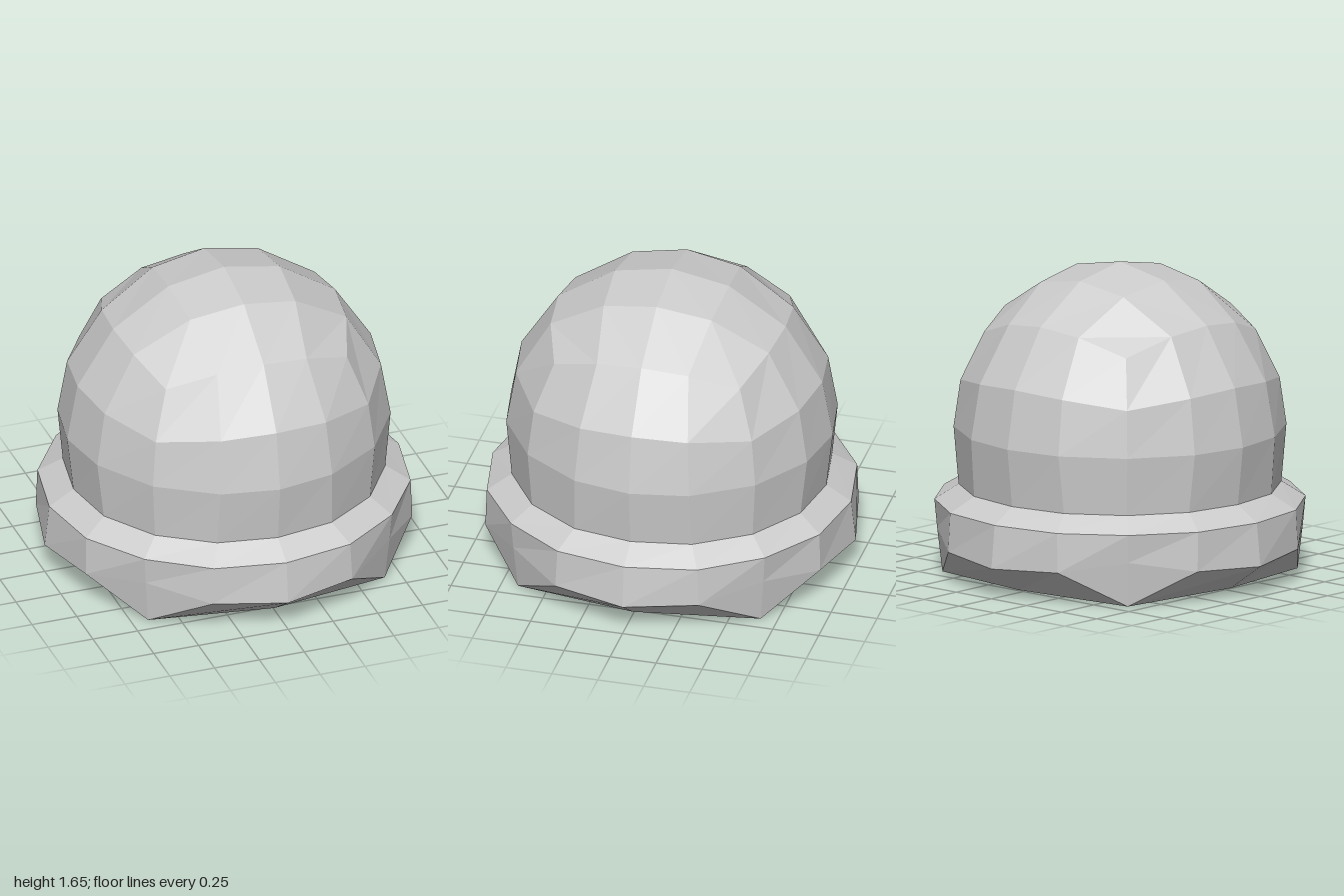
import * as THREE from 'three';

const RADIUS = 0.875, CENTRE_Y = 0.78;

// The 16 steps around a square grid (-2..2), counterclockwise from the front middle
const steps = [];
for (let side = 0; side < 4; side++) {
  for (let n = 0; n < 4; n++) {
    let i = Math.min(n, 2), j = Math.min(2, 4 - n);
    for (let s = 0; s < side; s++) [i, j] = [j, -i];
    steps.push([i, j]);
  }
}

// Point of a cube grid (-2..2 each way) pushed out to the ball
function ballPoint(i, k, j) {
  const onEdge = [i, k, j].filter((c) => Math.abs(c) === 2).length > 1;
  const inner = onEdge ? 0.42 : 0.38;
  const spread = (c) => Math.sign(c) * (Math.abs(c) === 1 ? inner : Math.abs(c) / 2);
  const p = new THREE.Vector3(spread(i), spread(k), spread(j)).setLength(RADIUS);
  p.y += CENTRE_Y;
  return p;
}

const ballRing = (k) => steps.map(([i, j]) => ballPoint(i, k, j));

// Four-fold symmetric ring: axis [r, y], between [near, far, y], corner [c, y]
function ring(axis, between, corner) {
  return steps.map(([i, j]) => {
    const sx = Math.sign(i), sz = Math.sign(j);
    if (i === 0 || j === 0) return new THREE.Vector3(sx * axis[0], axis[1], sz * axis[0]);
    if (Math.abs(i) === Math.abs(j)) return new THREE.Vector3(sx * corner[0], corner[1], sz * corner[0]);
    const [near, far, y] = between;
    return Math.abs(i) < Math.abs(j)
      ? new THREE.Vector3(sx * near, y, sz * far)
      : new THREE.Vector3(sx * far, y, sz * near);
  });
}

// Flat triangles, leaving out collapsed ones
function addTriangle(out, a, b, c) {
  if (a.distanceTo(b) < 1e-5 || b.distanceTo(c) < 1e-5 || c.distanceTo(a) < 1e-5) return;
  out.push(a, b, c);
}

function addQuad(out, a, b, c, d) {
  addTriangle(out, a, b, c);
  addTriangle(out, a, c, d);
}

// Join rings listed from top to bottom
function addLoft(out, rings) {
  for (let r = 0; r + 1 < rings.length; r++) {
    const up = rings[r], low = rings[r + 1];
    for (let k = 0; k < 16; k++) {
      const n = (k + 1) % 16;
      addQuad(out, low[k], low[n], up[n], up[k]);
    }
  }
}

function makeMesh(name, points) {
  const geometry = new THREE.BufferGeometry().setFromPoints(points);
  geometry.computeVertexNormals();
  const material = new THREE.MeshStandardMaterial({ color: 0xcccccc, flatShading: true });
  const mesh = new THREE.Mesh(geometry, material);
  mesh.name = name;
  return mesh;
}

export function createModel() {
  const group = new THREE.Group();
  group.name = 'domedCap';

  const neck = ring([0.84, 0.47], [0.32, 0.785, 0.47], [0.6, 0.47]);
  const brimTop = ring([0.975, 0.39], [0.38, 0.905, 0.39], [0.69, 0.39]);
  const brimLow = ring([1, 0.16], [0.39, 0.91, 0.18], [0.68, 0.24]);
  // Foot outline: the three points at each corner fall together
  const foot = ring([0.79, 0.015], [0.66, 0.66, 0], [0.66, 0]);

  // Dome: square crown patch, then rows down to the neck
  const dome = [];
  for (let i = -2; i < 2; i++) {
    for (let j = -2; j < 2; j++) {
      addQuad(dome, ballPoint(i, 2, j + 1), ballPoint(i + 1, 2, j + 1),
        ballPoint(i + 1, 2, j), ballPoint(i, 2, j));
    }
  }
  addLoft(dome, [ballRing(2), ballRing(1), ballRing(0), neck]);
  group.add(makeMesh('dome', dome));

  // Brim: sloped shoulder, outer wall and tucked-in lower edge with four pointed corners
  const brim = [];
  addLoft(brim, [neck, brimTop, brimLow, foot]);
  group.add(makeMesh('brim', brim));

  // Underside: flat corner triangles around a four-sided hollow
  const underside = [];
  const peak = new THREE.Vector3(0, 0.585, 0);
  for (let k = 0; k < 16; k += 4) {
    const a = foot[k], corner = foot[k + 2], b = foot[(k + 4) % 16];
    addTriangle(underside, a, b, corner);
    addTriangle(underside, a, peak, b);
  }
  group.add(makeMesh('underside', underside));

  return group;
}
